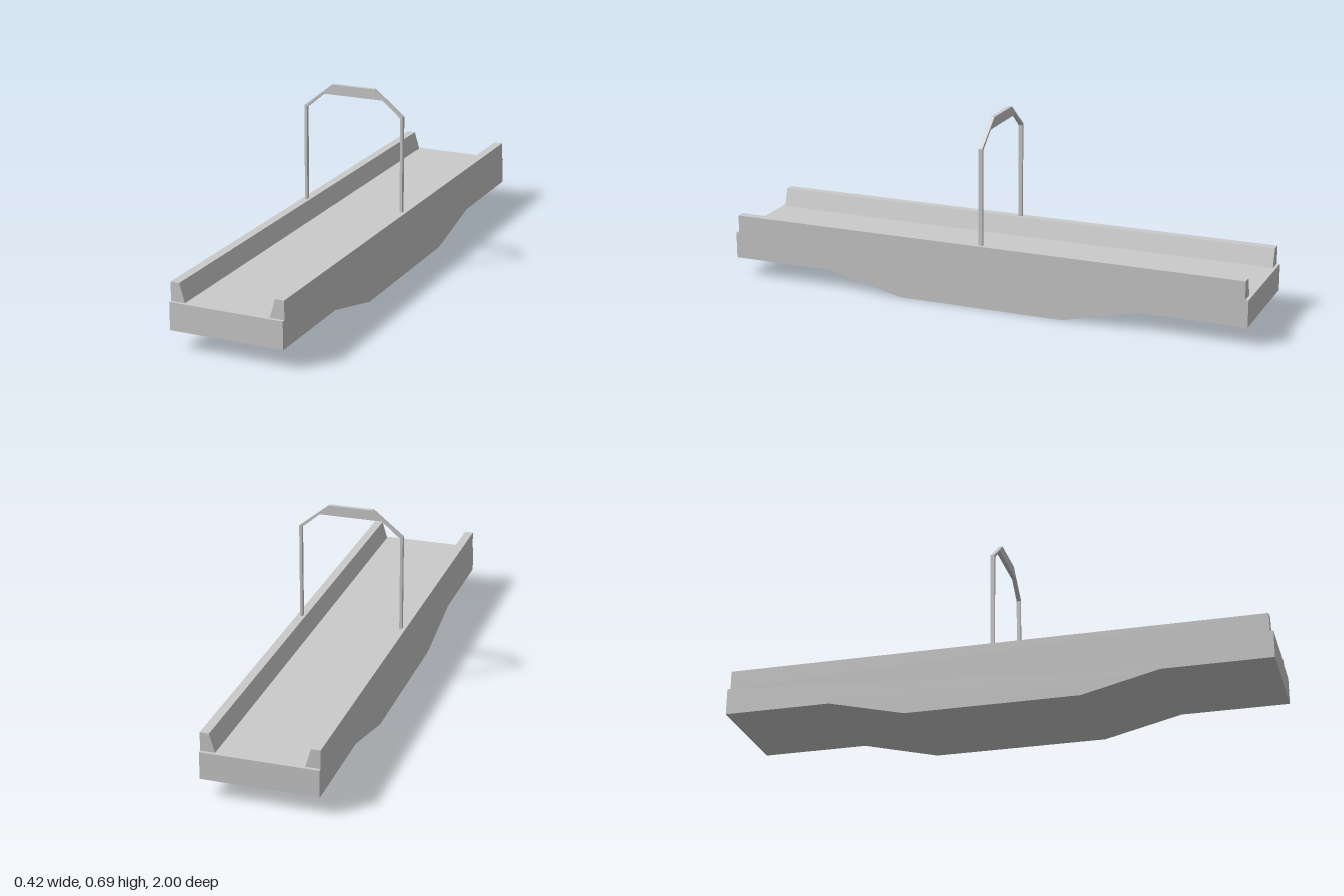
import * as THREE from 'three';

const material = new THREE.MeshStandardMaterial({ color: 0xcccccc, flatShading: true });

// Extrude a closed outline, centred on its depth
function extruded(name, points, depth) {
  const shape = new THREE.Shape(points.map(([x, y]) => new THREE.Vector2(x, y)));
  const geometry = new THREE.ExtrudeGeometry(shape, { depth, bevelEnabled: false });
  geometry.translate(0, 0, -depth / 2);
  const mesh = new THREE.Mesh(geometry, material);
  mesh.name = name;
  return mesh;
}

// Complete a half outline with its mirror image across the y axis
const mirrored = (half) => [...half, ...half.map(([x, y]) => [-x, y]).reverse()];

export function createModel() {
  const group = new THREE.Group();
  group.name = 'bridge';

  // Deck with a deeper, tapered belly; side profile spans the width
  const deck = extruded('deck', mirrored([[0.32, 0], [0.605, 0.068], [1, 0.068], [1, 0.168]]), 0.42);
  deck.rotation.y = Math.PI / 2;
  group.add(deck);

  // Curbs with a sloping inner face
  for (const [side, name] of [[1, 'leftCurb'], [-1, 'rightCurb']]) {
    const outline = [[0.157, 0.168], [0.21, 0.168], [0.21, 0.236], [0.177, 0.236]];
    group.add(extruded(name, outline.map(([x, y]) => [x * side, y]), 1.976));
  }

  // Thin arch standing on the curbs: outer edge, then inner edge
  const outer = [[0.197, 0.236], [0.197, 0.597], [0.084, 0.688]];
  const inner = [[-0.187, 0.236], [-0.187, 0.591], [-0.118, 0.65]];
  group.add(extruded('arch', [...mirrored(outer), ...mirrored(inner)], 0.015));

  return group;
}
